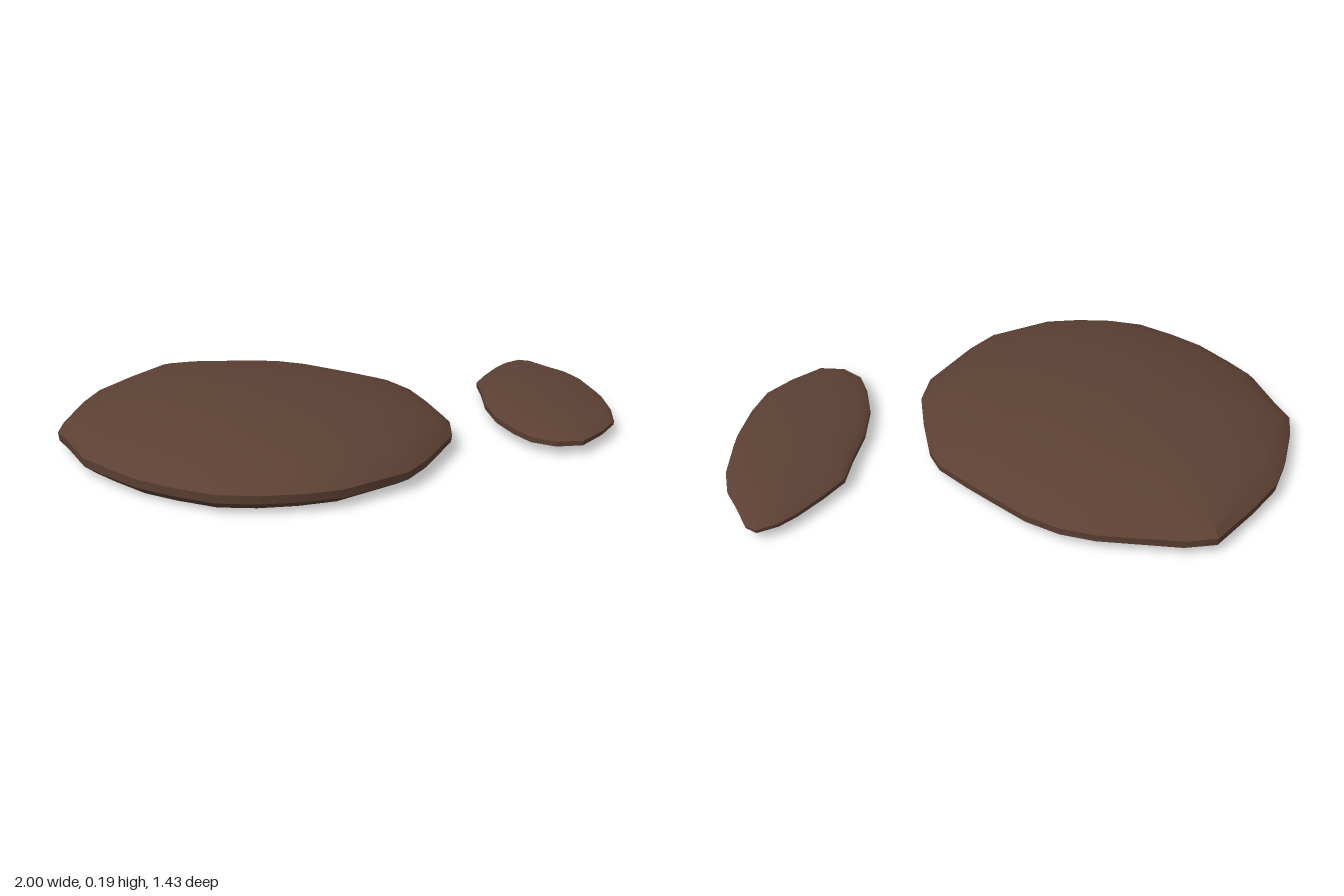
import * as THREE from 'three';
import { toCreasedNormals } from 'three/addons/utils/BufferGeometryUtils.js';

const material = new THREE.MeshStandardMaterial({ color: 0x5c4033 });

// Domed stone slab: rings of an irregular outline lofted from crown to underside.
function makeSlab(name, outline, { cx, cz, top, rim, edge, inset, floor }) {
  const n = outline.length;
  const positions = [];
  const index = [];
  const addRing = (scale, height) => {
    for (const [x, z] of outline) {
      const px = cx + (x - cx) * scale;
      const pz = cz + (z - cz) * scale;
      positions.push(px, height(px, pz), pz);
    }
  };

  // crown, dome rings, lower rim edge, inset underside
  positions.push(cx, top, cz);
  const dome = [0.15, 0.3, 0.45, 0.6, 0.72, 0.82, 0.9, 0.96, 1];
  for (const s of dome) addRing(s, () => rim + (top - rim) * Math.pow(1 - s * s, 0.65));
  addRing(0.995, edge);
  addRing(inset, floor);
  const rings = dome.length + 2;
  const base = positions.length / 3;
  positions.push(cx, floor(cx, cz), cz);

  const at = (ring, i) => 1 + ring * n + (i % n);
  for (let i = 0; i < n; i++) {
    index.push(0, at(0, i + 1), at(0, i));
    for (let r = 0; r < rings - 1; r++) {
      const a = at(r, i), b = at(r, i + 1), c = at(r + 1, i), d = at(r + 1, i + 1);
      index.push(a, b, c, b, d, c);
    }
    index.push(base, at(rings - 1, i), at(rings - 1, i + 1));
  }

  const geometry = new THREE.BufferGeometry();
  geometry.setAttribute('position', new THREE.Float32BufferAttribute(positions, 3));
  geometry.setIndex(index);
  const mesh = new THREE.Mesh(toCreasedNormals(geometry, 0.4), material);
  mesh.name = name;
  return mesh;
}

// Outlines as [x, z], clockwise seen from above
const largeOutline = [
  [-0.56, -0.72], [-0.45, -0.72], [-0.18, -0.65], [-0.07, -0.6], [0.03, -0.52], [0.12, -0.41],
  [0.2, -0.31], [0.28, -0.2], [0.305, -0.11], [0.31, 0.05], [0.305, 0.22], [0.26, 0.35],
  [0.09, 0.55], [0, 0.63], [-0.24, 0.71], [-0.37, 0.705], [-0.5, 0.68], [-0.62, 0.63],
  [-0.73, 0.53], [-0.82, 0.43], [-0.9, 0.29], [-0.95, 0.19], [-0.98, 0], [-1, -0.09],
  [-0.97, -0.19], [-0.9, -0.35], [-0.83, -0.47], [-0.72, -0.58],
];
const smallOutline = [
  [0.89, -0.46], [0.925, -0.43], [0.96, -0.32], [0.99, -0.24], [1, -0.13], [0.98, 0.03],
  [0.97, 0.09], [0.925, 0.24], [0.87, 0.36], [0.78, 0.44], [0.67, 0.51], [0.58, 0.49],
  [0.52, 0.42], [0.5, 0.32], [0.495, 0.19], [0.52, 0.04], [0.57, -0.11], [0.6, -0.22],
  [0.67, -0.3], [0.76, -0.39], [0.82, -0.435],
];

export function createModel() {
  const group = new THREE.Group();
  group.name = 'steppingStones';

  // Large stone, its underside rising slightly to the left and the back
  group.add(makeSlab('largeStone', largeOutline, {
    cx: -0.34, cz: 0, top: 0.195, rim: 0.062, inset: 0.93,
    edge: (x) => 0.036 + 0.004 * x,
    floor: (x, z) => Math.max(0, 0.012 * (x + 0.8)) + Math.max(0, -z - 0.45) * 0.08,
  }));

  // Small narrow stone
  group.add(makeSlab('smallStone', smallOutline, {
    cx: 0.75, cz: 0.02, top: 0.09, rim: 0.05, inset: 0.93,
    edge: (x) => 0.03 + 0.02 * (x - 0.5),
    floor: (x) => 0.02 + 0.01 * (x - 0.5),
  }));
  return group;
}
